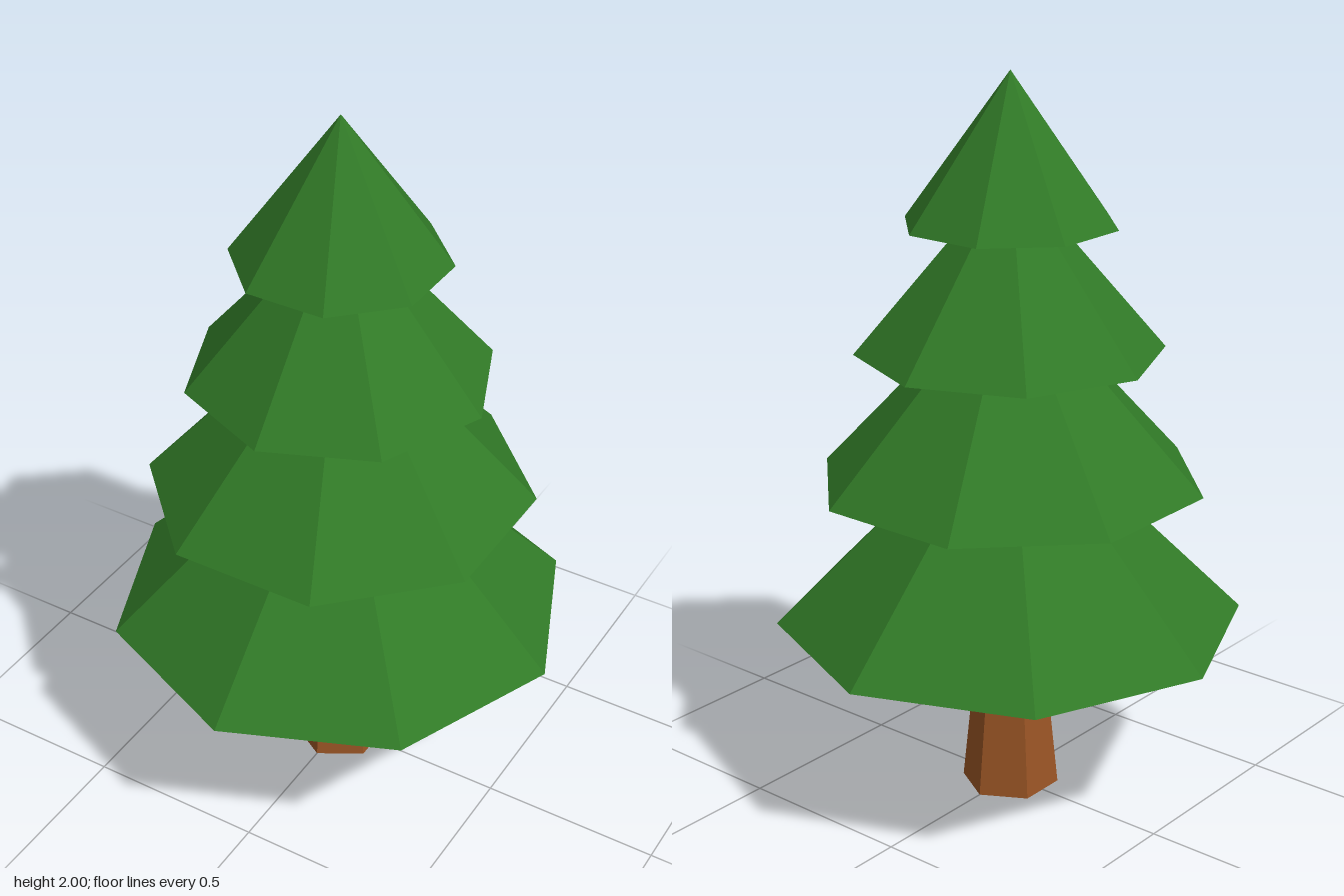
import * as THREE from 'three';

const leafGreen = new THREE.MeshStandardMaterial({ name: 'leafGreen', color: 0x317a27, flatShading: true });
const barkBrown = new THREE.MeshStandardMaterial({ name: 'barkBrown', color: 0x9a5525, flatShading: true, side: THREE.DoubleSide });

export function createModel() {
  const tree = new THREE.Group();
  tree.name = 'pineTree';

  // Tapered six-sided trunk, open at the ends
  const trunkHeight = 0.51;
  const trunk = new THREE.Mesh(
    new THREE.CylinderGeometry(0.083, 0.135, trunkHeight, 6, 1, true), barkBrown);
  trunk.name = 'trunk';
  trunk.position.y = trunkHeight / 2;
  tree.add(trunk);

  // Eight-sided foliage cones, every other one turned by half a side
  const tiers = [
    { name: 'bottomFoliage', base: 0.504, apex: 1.14, radius: 0.64 },
    { name: 'lowerFoliage', base: 0.905, apex: 1.475, radius: 0.53 },
    { name: 'upperFoliage', base: 1.263, apex: 1.75, radius: 0.414 },
    { name: 'topFoliage', base: 1.605, apex: 2, radius: 0.289 },
  ];
  tiers.forEach(({ name, base, apex, radius }, i) => {
    const cone = new THREE.Mesh(new THREE.ConeGeometry(radius, apex - base, 8), leafGreen);
    cone.name = name;
    cone.position.y = (base + apex) / 2;
    cone.rotation.y = (i % 2) * Math.PI / 8;
    tree.add(cone);
  });

  return tree;
}
